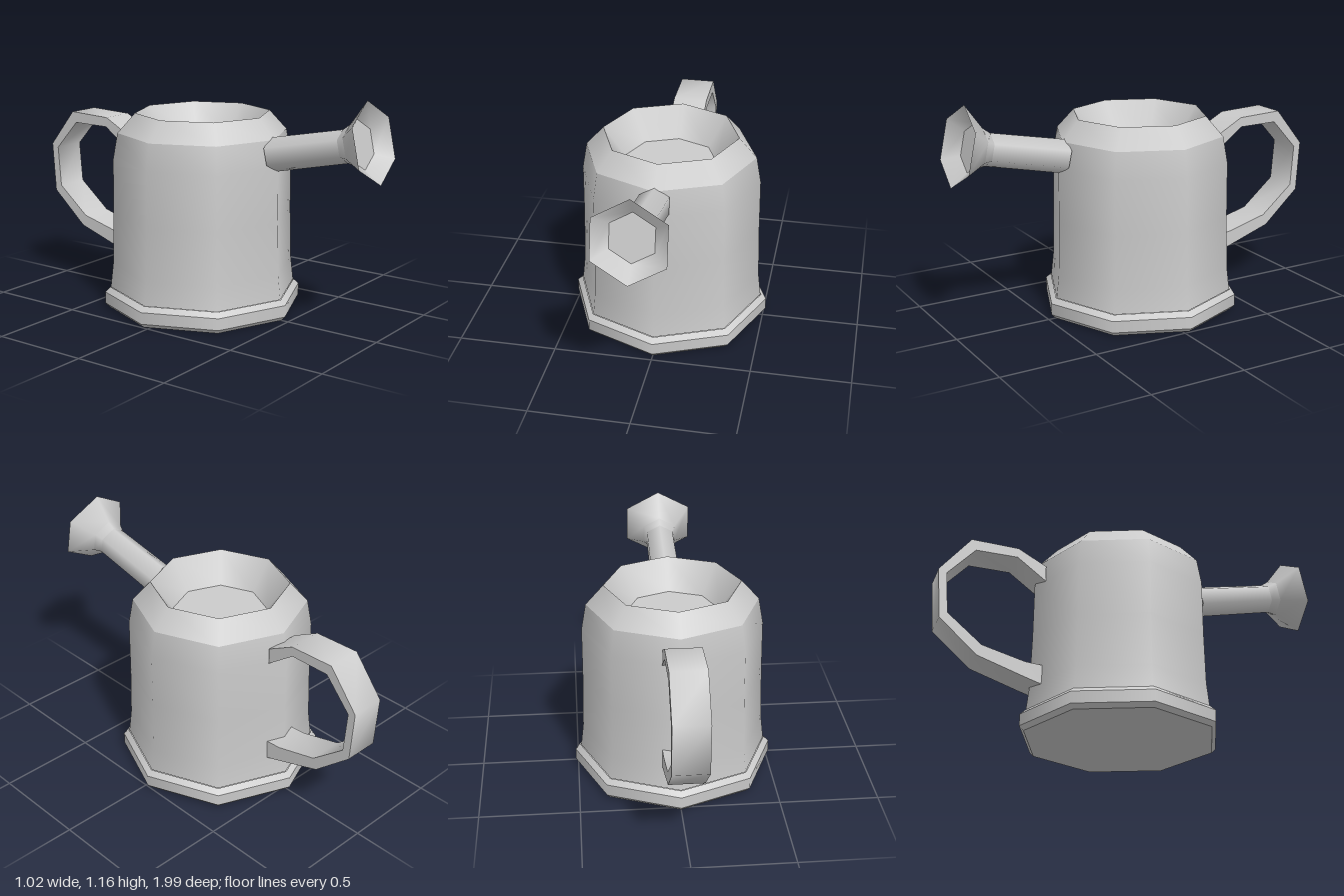
import * as THREE from 'three';
import { toCreasedNormals } from 'three/addons/utils/BufferGeometryUtils.js';

const material = new THREE.MeshStandardMaterial({ color: 0xcccccc, side: THREE.DoubleSide });

// Each band is smooth within itself and meets its neighbours at a sharp edge
function turnedPart(name, bands, sides) {
  const part = new THREE.Group();
  part.name = name;
  for (const [label, ...profile] of bands) {
    const points = profile.map(([r, y]) => new THREE.Vector2(r, y));
    const mesh = new THREE.Mesh(new THREE.LatheGeometry(points, sides), material);
    mesh.name = label;
    part.add(mesh);
  }
  return part;
}

export function createModel() {
  const model = new THREE.Group();
  model.name = 'wateringCan';

  // Eight-sided can: flared foot, tapering wall, shoulder and sunken top
  const body = turnedPart('body', [
    ['underside', [0, 0], [0.49, 0]],
    ['footLowerBevel', [0.49, 0], [0.512, 0.022]],
    ['footRim', [0.512, 0.022], [0.512, 0.082]],
    ['footUpperBevel', [0.512, 0.082], [0.485, 0.107]],
    ['wall', [0.482, 0.107], [0.468, 0.23], [0.461, 0.5], [0.459, 0.78], [0.435, 0.915]],
    ['shoulder', [0.435, 0.915], [0.345, 1.015]],
    ['mouth', [0.345, 1.015], [0.235, 0.865]],
    ['mouthFloor', [0.235, 0.865], [0, 0.865]],
  ], 8);
  body.position.z = -0.03;
  model.add(body);

  // Six-sided spout with a flared, hollow rose
  const spout = turnedPart('spout', [
    ['spoutEnd', [0, 0], [0.085, 0]],
    ['spoutTube', [0.085, 0], [0.081, 0.413]],
    ['spoutCollar', [0.081, 0.413], [0.1, 0.455]],
    ['roseFlare', [0.1, 0.455], [0.2, 0.567]],
    ['roseRecess', [0.2, 0.567], [0.12, 0.497]],
    ['roseFace', [0.12, 0.497], [0, 0.497]],
  ], 6);
  spout.position.set(0, 0.8425, 0.4);
  spout.rotation.x = THREE.MathUtils.degToRad(78);
  model.add(spout);

  // Flat strap handle: side outline as [distance behind centre, height]
  const outline = [
    [0.455, 0.86], [0.6, 0.938], [0.842, 0.947], [0.998, 0.755], [0.98, 0.495], [0.785, 0.322],
    [0.54, 0.24], [0.46, 0.215], [0.46, 0.315], [0.545, 0.322], [0.765, 0.38], [0.94, 0.525],
    [0.957, 0.738], [0.818, 0.89], [0.605, 0.888], [0.455, 0.778],
  ];
  const shape = new THREE.Shape(outline.map(([d, y]) => new THREE.Vector2(d, y)));
  const strap = new THREE.ExtrudeGeometry(shape, { depth: 0.176, bevelEnabled: false });
  strap.translate(0, 0, -0.088);
  strap.rotateY(Math.PI / 2);
  const handle = new THREE.Mesh(toCreasedNormals(strap, 1), material);
  handle.name = 'handle';
  model.add(handle);

  return model;
}
